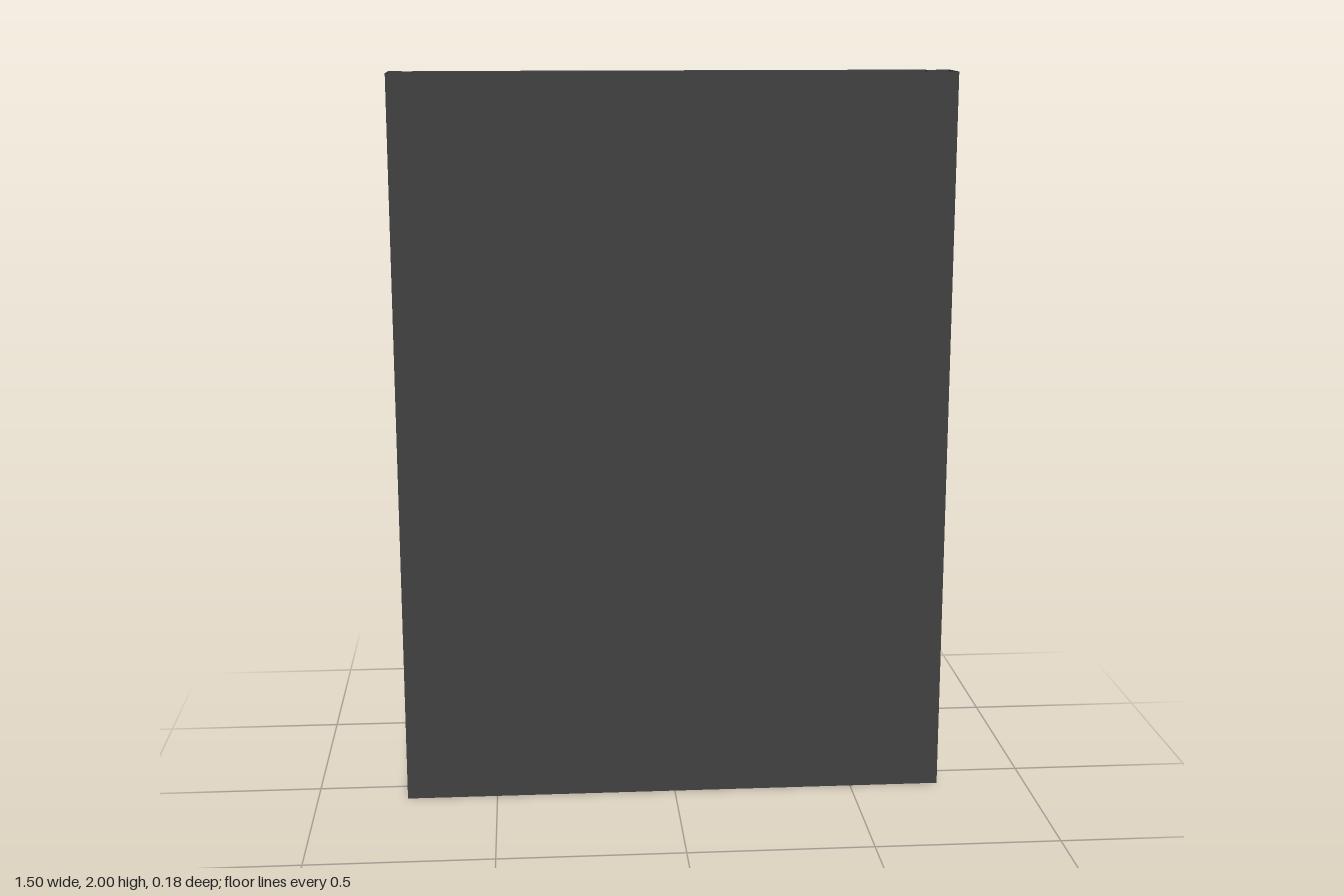
import * as THREE from 'three';

const dark = new THREE.MeshStandardMaterial({ color: 0x404040, flatShading: true });
const darkSheet = new THREE.MeshStandardMaterial({ color: 0x404040, flatShading: true, side: THREE.DoubleSide });

const HEIGHT = 2;
const HALF = 0.75;       // half width of the door skin
const INNER = 0.66;      // half width of the rear lining
const MID = 1.163;       // height of the lattice centre

function part(group, name, geometry, material = dark) {
  const mesh = new THREE.Mesh(geometry, material);
  mesh.name = name;
  group.add(mesh);
  return mesh;
}

// Folded sheet: an [x, z] path swept from y0 to y1
function foldedSheet(path, y0, y1) {
  const pos = [];
  for (let i = 0; i < path.length - 1; i++) {
    const [ax, az] = path[i], [bx, bz] = path[i + 1];
    pos.push(ax, y0, az, bx, y0, bz, bx, y1, bz, ax, y0, az, bx, y1, bz, ax, y1, az);
  }
  const g = new THREE.BufferGeometry();
  g.setAttribute('position', new THREE.Float32BufferAttribute(pos, 3));
  g.computeVertexNormals();
  return g;
}

// Horizontal panel: a [z, y] section swept along x
function sweptPanel(section, halfWidth) {
  const shape = new THREE.Shape(section.map(([z, y]) => new THREE.Vector2(z, y)));
  const g = new THREE.ExtrudeGeometry(shape, { depth: halfWidth * 2, bevelEnabled: false });
  return g.rotateY(-Math.PI / 2).translate(halfWidth, 0, 0);
}

// Closed path with rounded corners
function roundedPath(points, r) {
  const path = new THREE.Path();
  const n = points.length;
  points.forEach((p, i) => {
    const toPrev = points[(i + n - 1) % n].clone().sub(p).normalize();
    const toNext = points[(i + 1) % n].clone().sub(p).normalize();
    const cut = Math.min(r / Math.tan(Math.acos(toPrev.dot(toNext)) / 2), 0.06);
    const a = p.clone().addScaledVector(toPrev, cut);
    const b = p.clone().addScaledVector(toNext, cut);
    if (i === 0) path.moveTo(a.x, a.y); else path.lineTo(a.x, a.y);
    path.quadraticCurveTo(p.x, p.y, b.x, b.y);
  });
  path.closePath();
  return path;
}

export function createModel() {
  const model = new THREE.Group();
  model.name = 'doorPanel';

  // Outer skin: front face, sides, rear flanges and edge grooves
  const edge = [
    [INNER, -0.01], [INNER, -0.045], [0.685, -0.045], [0.685, -0.01],
    [0.715, -0.01], [0.715, -0.045], [HALF, -0.045], [HALF, 0.088],
  ];
  const mirrored = edge.map(([x, z]) => [-x, z]).reverse();
  part(model, 'outerSkin', foldedSheet([...edge, ...mirrored].reverse(), 0, HEIGHT), darkSheet);

  // Recessed sheet behind the lattice
  part(model, 'rearLining', foldedSheet([[INNER, -0.01], [-INNER, -0.01]], 0.5, 1.82), darkSheet);

  // Upper rear panel with chamfered edges
  part(model, 'upperPanel', sweptPanel([
    [0, 1.79], [-0.045, 1.79], [-0.054, 1.8], [-0.054, 1.985], [-0.045, 2], [0, 2],
  ], INNER));

  // Two lower rear panels meeting at a shallow seam
  part(model, 'lowerPanelTop', sweptPanel([
    [0, 0.264], [-0.06, 0.264], [-0.066, 0.27], [-0.066, 0.5], [-0.05, 0.54], [0, 0.54],
  ], INNER));
  part(model, 'lowerPanelBottom', sweptPanel([
    [0, 0], [-0.045, 0], [-0.066, 0.03], [-0.066, 0.258], [-0.06, 0.264], [0, 0.264],
  ], INNER));

  // Lattice plate: eight triangular pockets around a round hole
  const w = 0.625, h = 0.577;
  const plate = new THREE.Shape([
    new THREE.Vector2(-w, -h), new THREE.Vector2(w, -h), new THREE.Vector2(w, h), new THREE.Vector2(-w, h),
  ]);
  const pockets = [
    [[0.047, 0.53], [0.047, 0.093], [0.525, 0.53]],
    [[0.576, 0.466], [0.12, 0.05], [0.576, 0.05]],
  ];
  for (const sx of [1, -1]) {
    for (const sy of [1, -1]) {
      for (const tri of pockets) {
        plate.holes.push(roundedPath(tri.map(([x, y]) => new THREE.Vector2(x * sx, y * sy)), 0.02));
      }
    }
  }
  plate.holes.push(new THREE.Path().absarc(0, 0, 0.065, 0, Math.PI * 2, true));
  const lattice = new THREE.ExtrudeGeometry(plate, {
    depth: 0.085, bevelThickness: 0.005, bevelSize: 0.005, bevelOffset: -0.005, bevelSegments: 1, curveSegments: 10,
  });
  part(model, 'latticePlate', lattice).position.set(0, MID, -0.083);

  // Floor closing the pockets
  part(model, 'pocketFloor', new THREE.BoxGeometry(w * 2, h * 2, 0.012)).position.set(0, MID, 0.006);

  return model;
}
